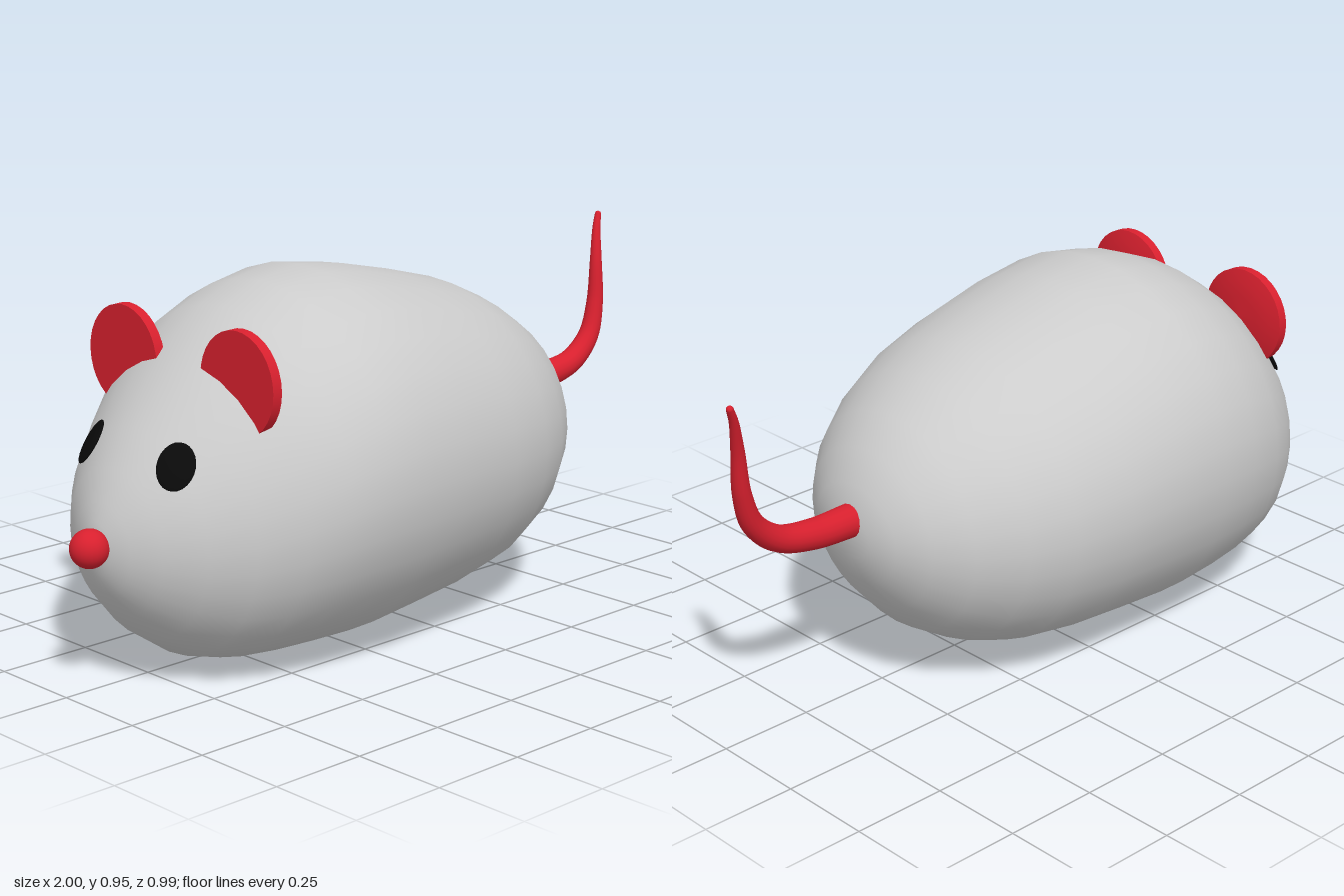
import * as THREE from 'three';

// Body sections along x: [x, top, bottom, half width]
const SECTIONS = [
  [-0.932, 0.37, 0.37, 0], [-0.92, 0.43, 0.3, 0.055], [-0.9, 0.475, 0.25, 0.105],
  [-0.86, 0.55, 0.187, 0.178], [-0.79, 0.636, 0.112, 0.262], [-0.7, 0.727, 0.05, 0.34],
  [-0.6, 0.818, 0.022, 0.41], [-0.5, 0.885, 0.014, 0.457], [-0.38, 0.933, 0.008, 0.483],
  [-0.25, 0.957, 0.003, 0.494], [-0.09, 0.936, 0.018, 0.487], [0.08, 0.898, 0.034, 0.47],
  [0.24, 0.856, 0.057, 0.432], [0.36, 0.803, 0.1, 0.38], [0.47, 0.737, 0.168, 0.305],
  [0.545, 0.665, 0.25, 0.228], [0.595, 0.59, 0.335, 0.15], [0.615, 0.52, 0.405, 0.07],
  [0.62, 0.47, 0.47, 0],
];
const SIDES = 32;

// The body is turned slightly, so its centre line drifts in z
const centreZ = (x) => -0.006 - 0.04 * x;

function bodyGeometry() {
  const positions = [], index = [];
  SECTIONS.forEach(([x, top, bottom, half], i) => {
    for (let j = 0; j < SIDES; j++) {
      const a = (j / SIDES) * Math.PI * 2;
      positions.push(x, (top + bottom) / 2 + Math.cos(a) * (top - bottom) / 2, centreZ(x) + Math.sin(a) * half);
      if (i === 0) continue;
      const k = (j + 1) % SIDES, p = (i - 1) * SIDES, q = i * SIDES;
      if (i > 1) index.push(p + j, p + k, q + j);
      else index.push(p, q + k, q + j);
      if (i > 1 && i < SECTIONS.length - 1) index.push(p + k, q + k, q + j);
    }
  });
  // make the end caps meet in one shared point each
  const last = (SECTIONS.length - 1) * SIDES;
  const shared = index.map((v) => (v >= last ? last : v));
  const g = new THREE.BufferGeometry();
  g.setAttribute('position', new THREE.Float32BufferAttribute(positions, 3));
  g.setIndex(shared);
  g.computeVertexNormals();
  return g;
}

// Tube that narrows along its length
function taperedTube(curve, steps, sides, radiusAt) {
  const g = new THREE.TubeGeometry(curve, steps, 1, sides);
  const pos = g.attributes.position, v = new THREE.Vector3();
  for (let i = 0; i < pos.count; i++) {
    const t = Math.floor(i / (sides + 1)) / steps;
    const c = curve.getPointAt(t);
    v.fromBufferAttribute(pos, i).sub(c).multiplyScalar(radiusAt(t)).add(c);
    pos.setXYZ(i, v.x, v.y, v.z);
  }
  return g;
}

export function createModel() {
  const grey = new THREE.MeshStandardMaterial({ name: 'grey', color: 0xcccccc });
  const red = new THREE.MeshStandardMaterial({ name: 'red', color: 0xd8202e });
  const black = new THREE.MeshStandardMaterial({ name: 'black', color: 0x0a0a0a });

  const model = new THREE.Group();
  model.name = 'toyMouse';
  const add = (name, geometry, material, x = 0, y = 0, z = 0) => {
    const mesh = new THREE.Mesh(geometry, material);
    mesh.name = name;
    mesh.position.set(x, y, z);
    model.add(mesh);
    return mesh;
  };

  add('body', bodyGeometry(), grey);
  add('nose', new THREE.SphereGeometry(0.048, 24, 16), red, -0.952, 0.375, 0.045);

  // Ears: discs with a flat front and a domed back
  const earProfile = [[0, 0], [0.13, 0], [0.13, 0], [0.131, 0.026], [0.131, 0.026],
    [0.1, 0.036], [0.06, 0.043], [0, 0.047]].map(([r, h]) => new THREE.Vector2(r, h));
  const earGeometry = new THREE.LatheGeometry(earProfile, 32);
  earGeometry.rotateZ(-Math.PI / 2);

  const eyeGeometry = new THREE.SphereGeometry(1, 24, 12);
  for (const side of [-1, 1]) {
    const label = side < 0 ? 'far' : 'near';
    add(label + 'Ear', earGeometry, red, -0.645, 0.75, 0.013 + side * 0.212);

    // Eyes: thin ovals lying on the slope of the face
    const eye = add(label + 'Eye', eyeGeometry, black, -0.802, 0.574, 0.028 + side * 0.16);
    eye.lookAt(eye.position.clone().add(new THREE.Vector3(-0.745, 0.51, side * 0.43)));
    eye.scale.set(0.049, 0.06, 0.009);
  }

  // Tail: leaves the rump level, then curls upward
  const path = new THREE.CatmullRomCurve3([
    [0.612, 0.5, -0.027], [0.73, 0.505, -0.03], [0.837, 0.53, -0.03], [0.908, 0.592, -0.031],
    [0.94, 0.68, -0.038], [0.955, 0.8, -0.05], [0.974, 0.885, -0.067], [0.99, 0.925, -0.076],
  ].map((p) => new THREE.Vector3(...p)));
  const radiusAt = (t) => 0.043 - 0.034 * t ** 1.2;
  add('tail', taperedTube(path, 40, 16, radiusAt), red);
  add('tailTip', new THREE.SphereGeometry(radiusAt(1), 16, 8), red, 0.99, 0.925, -0.076);
  const base = add('tailBase', new THREE.CircleGeometry(radiusAt(0), 16), red, 0.612, 0.5, -0.027);
  base.rotation.y = -Math.PI / 2;

  return model;
}
